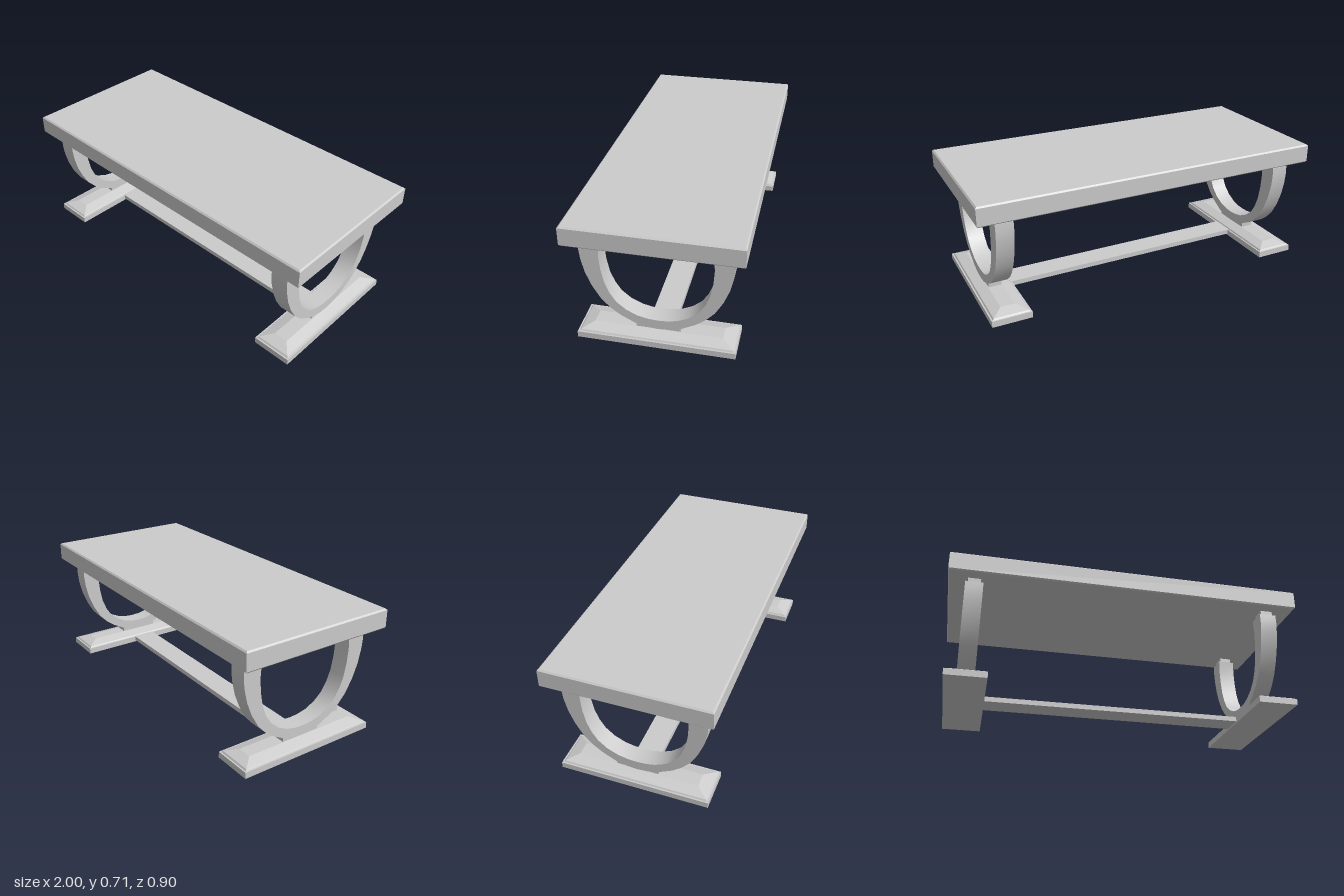
import * as THREE from 'three';
import { toCreasedNormals } from 'three/addons/utils/BufferGeometryUtils.js';

const material = new THREE.MeshStandardMaterial({ color: 0xcccccc });

function part(name, geometry, x = 0, y = 0, z = 0) {
  const mesh = new THREE.Mesh(geometry, material);
  mesh.name = name;
  mesh.position.set(x, y, z);
  return mesh;
}

// Closed solid from stacked rectangles, listed bottom to top as [y, halfX, halfZ]
function steppedSlab(layers) {
  const positions = [];
  const rings = layers.map(([y, a, b]) => [[-a, y, b], [a, y, b], [a, y, -b], [-a, y, -b]]);
  const quad = (p, q, r, s) => positions.push(...p, ...q, ...r, ...p, ...r, ...s);
  for (let i = 0; i < rings.length - 1; i++) {
    for (let k = 0; k < 4; k++) {
      const n = (k + 1) % 4;
      quad(rings[i][k], rings[i][n], rings[i + 1][n], rings[i + 1][k]);
    }
  }
  quad(...rings[rings.length - 1]);
  quad(...[...rings[0]].reverse());
  const geometry = new THREE.BufferGeometry();
  geometry.setAttribute('position', new THREE.Float32BufferAttribute(positions, 3));
  geometry.computeVertexNormals();
  return geometry;
}

// U-shaped leg: thick at the tips, slimmer at the bottom
function archGeometry(width) {
  const outer = [[0.392, 0.57], [0.394, 0.52], [0.388, 0.46], [0.37, 0.38], [0.339, 0.3], [0.297, 0.226],
    [0.25, 0.174], [0.2, 0.135], [0.12, 0.092], [0.06, 0.076], [0, 0.071]];
  const inner = [[0, 0.128], [0.05, 0.131], [0.105, 0.143], [0.165, 0.172], [0.215, 0.215], [0.248, 0.268],
    [0.272, 0.33], [0.287, 0.41], [0.293, 0.49], [0.288, 0.57]];
  const mirror = (points) => points.map(([z, y]) => [-z, y]).reverse();
  const outline = [...outer, ...mirror(outer).slice(1), ...mirror(inner), ...inner.slice(1)];
  const shape = new THREE.Shape(outline.map(([z, y]) => new THREE.Vector2(z, y)));
  const geometry = new THREE.ExtrudeGeometry(shape, { depth: width, bevelEnabled: false });
  geometry.translate(0, 0, -width / 2).rotateY(Math.PI / 2);
  return toCreasedNormals(geometry, Math.PI / 5);
}

function createTrestle(name) {
  const trestle = new THREE.Group();
  trestle.name = name;

  // Plinth with a small step and sloping upper faces
  trestle.add(part('foot', steppedSlab([
    [0, 0.112, 0.417], [0.035, 0.112, 0.417], [0.035, 0.103, 0.408],
    [0.043, 0.098, 0.402], [0.063, 0.04, 0.34],
  ])));
  trestle.add(part('footBlock', new THREE.BoxGeometry(0.074, 0.032, 0.236), 0, 0.078, 0));
  trestle.add(part('archedLeg', archGeometry(0.098)));

  // Short blocks between the leg tips and the top
  for (const side of [-1, 1]) {
    trestle.add(part('legCap', new THREE.BoxGeometry(0.07, 0.034, 0.078), 0, 0.586, side * 0.339));
  }
  return trestle;
}

export function createModel() {
  const table = new THREE.Group();
  table.name = 'coffeeTable';

  // Slab top with chamfered rims
  table.add(part('tableTop', steppedSlab([
    [0.6, 0.994, 0.445], [0.607, 1, 0.452], [0.702, 1, 0.452], [0.71, 0.992, 0.444],
  ])));

  // End supports
  const base = new THREE.Group();
  base.name = 'base';
  base.position.set(-0.005, 0, 0.003);
  for (const [name, side] of [['leftTrestle', 1], ['rightTrestle', -1]]) {
    const trestle = createTrestle(name);
    trestle.position.x = side * 0.852;
    base.add(trestle);
  }

  // Low flat bar joining the feet
  base.add(part('stretcher', new THREE.BoxGeometry(1.5, 0.028, 0.14), 0, 0.023, 0));
  table.add(base);
  return table;
}
